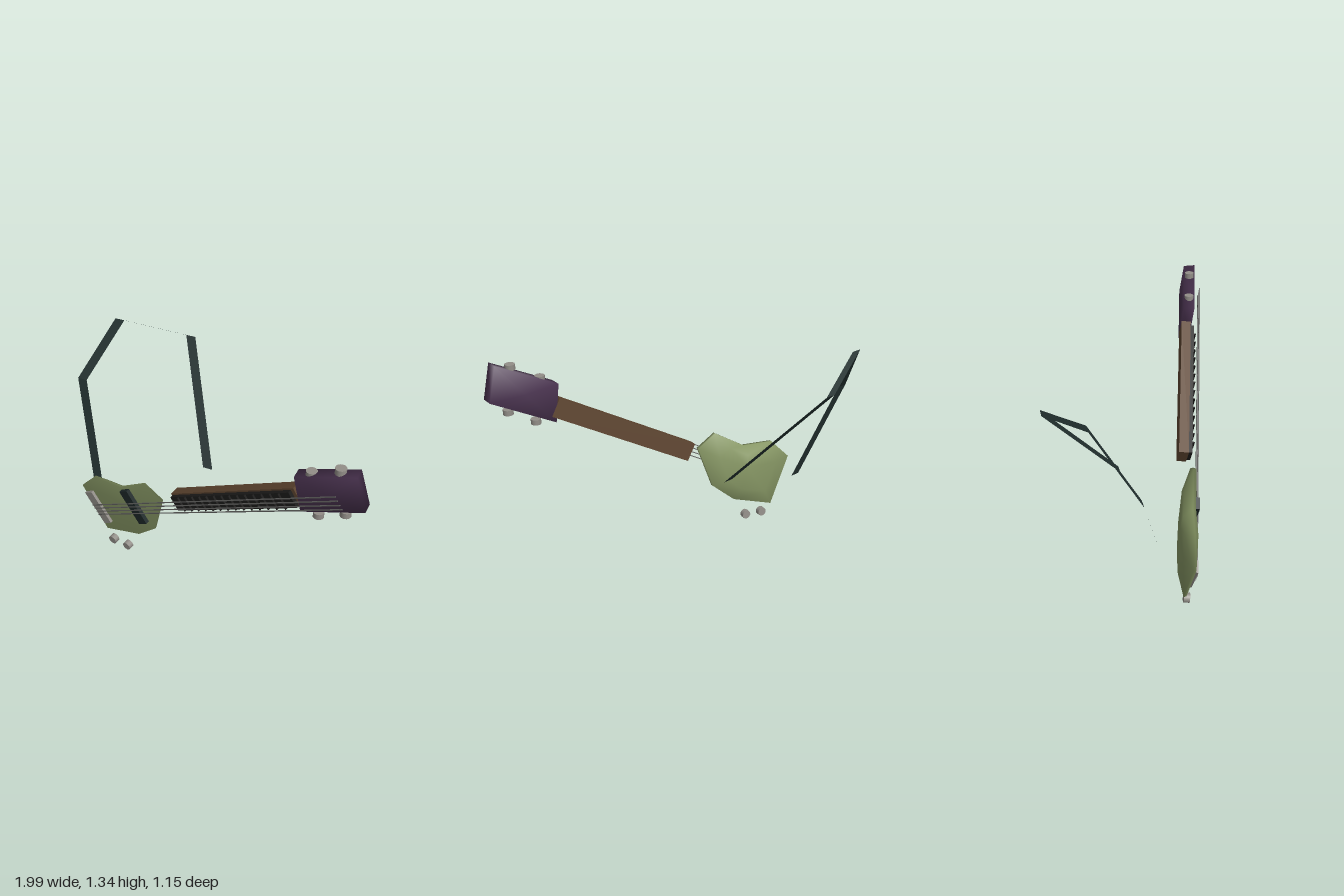
import * as THREE from 'three';

const mat = (name, color, side = THREE.FrontSide) => {
  const m = new THREE.MeshStandardMaterial({ color, side });
  m.name = name;
  return m;
};

// Instrument frame: u along the neck, v across it, n out of the front
const U = new THREE.Vector3(0.843, 0.491, 0.22).normalize();
const V = new THREE.Vector3(-U.y, U.x, 0).normalize();
const N = new THREE.Vector3().crossVectors(U, V);
const ORIGIN = new THREE.Vector3(0, 0.68, 0.345);

// Local point that appears at front position x, y and lies w above the string plane
function at(x, y, w) {
  const dx = x - ORIGIN.x, dy = y - ORIGIN.y;
  const along = dx * V.y - dy * V.x;
  return [(along + U.z * w) / Math.hypot(U.x, U.y), dx * V.x + dy * V.y, w];
}

// Smooth solid from one counter-clockwise outline, with loops of [scale, w] from back to front
function loft(outline, loops, backW, frontW) {
  const n = outline.length;
  const cx = outline.reduce((s, p) => s + p[0], 0) / n;
  const cy = outline.reduce((s, p) => s + p[1], 0) / n;
  const pos = [], idx = [];
  for (const [s, w] of loops)
    for (const [x, y] of outline) pos.push(...at(cx + (x - cx) * s, cy + (y - cy) * s, w));
  const back = loops.length * n, front = back + 1, last = back - n;
  pos.push(...at(cx, cy, backW), ...at(cx, cy, frontW));
  for (let i = 0; i < n; i++) {
    const j = (i + 1) % n;
    idx.push(back, j, i, front, last + i, last + j);
    for (let k = 0; k < last; k += n)
      idx.push(k + i, k + j, k + n + j, k + i, k + n + j, k + n + i);
  }
  const g = new THREE.BufferGeometry();
  g.setAttribute('position', new THREE.Float32BufferAttribute(pos, 3));
  g.setIndex(idx);
  g.computeVertexNormals();
  return g;
}

export function createModel() {
  const root = new THREE.Group();
  root.name = 'bassGuitar';
  const green = mat('bodyGreen', 0x869664);
  const purple = mat('headPurple', 0x4a3350);
  const brown = mat('neckBrown', 0x5e4530);
  const black = mat('fretboardBlack', 0x1c1b1a);
  const strapDark = mat('strapDark', 0x22302f, THREE.DoubleSide);
  const pickupDark = mat('pickupDark', 0x1d2828);
  const metal = mat('metalGrey', 0x928e88);
  const stringGrey = mat('stringGrey', 0x626260);

  const guitar = new THREE.Group();
  guitar.name = 'guitar';
  guitar.position.copy(ORIGIN);
  guitar.quaternion.setFromRotationMatrix(new THREE.Matrix4().makeBasis(U, V, N));
  root.add(guitar);

  const add = (parent, name, geo, material, p = [0, 0, 0]) => {
    const m = new THREE.Mesh(geo, material);
    m.name = name;
    m.position.set(...p);
    parent.add(m);
    return m;
  };
  // Box given by its ranges in the instrument frame
  const block = (name, material, a, b, w) =>
    add(guitar, name, new THREE.BoxGeometry(a[1] - a[0], b[1] - b[0], w[1] - w[0]), material,
      [a, b, w].map(r => (r[0] + r[1]) / 2));

  // Body with thin rim and domed back
  const bodyOutline = [[-0.84, 0.39], [-0.695, 0.09], [-0.43, 0.19], [-0.29, 0.32],
    [-0.21, 0.59], [-0.33, 0.662], [-0.52, 0.538], [-0.72, 0.52]];
  add(guitar, 'body', loft(bodyOutline, [[0.62, -0.088], [1, -0.042], [1, -0.026]], -0.092, -0.026), green);

  // Headstock
  const headOutline = [[0.66, 0.98], [0.99, 1.155], [0.935, 1.345], [0.62, 1.19]];
  add(guitar, 'headstock', loft(headOutline, [[1, -0.112], [1, -0.045]], -0.112, -0.045), purple);

  // Neck, fretboard and frets
  block('neck', brown, [-0.162, 0.75], [-0.052, 0.058], [-0.112, -0.056]);
  block('fretboard', black, [-0.155, 0.73], [-0.043, 0.049], [-0.056, -0.034]);
  for (let i = 0; i < 14; i++) {
    const a = -0.09 + i * 0.058;
    block('fret', black, [a, a + 0.006], [-0.043, 0.049], [-0.034, -0.022]);
  }

  // Pickup and bridge
  block('pickup', pickupDark, [-0.535, -0.465], [-0.112, 0.125], [-0.03, -0.002]);
  block('bridge', metal, [-0.893, -0.825], [-0.107, 0.128], [-0.03, -0.008]);

  // Strings
  for (let i = 0; i < 4; i++) {
    const b = -0.033 + i * 0.024;
    block('string', stringGrey, [-0.88, 1.035], [b - 0.0025, b + 0.0025], [-0.0025, 0.0025]);
  }

  // Tuning pegs
  for (const p of [[0.70, 1.228, 0.462], [0.845, 1.317, 0.5], [0.75, 0.993, 0.455], [0.888, 1.076, 0.49]])
    add(root, 'tuningPeg', new THREE.CylinderGeometry(0.028, 0.028, 0.03, 12), metal, p);

  // Control knobs
  for (const p of [[-0.643, 0.034, 0.132], [-0.528, 0.045, 0.156]]) {
    const knob = add(root, 'controlKnob', new THREE.CylinderGeometry(0.028, 0.028, 0.034, 12), metal, p);
    knob.quaternion.setFromUnitVectors(new THREE.Vector3(0, 1, 0), N);
  }

  // Strap: flat ribbon with its width along x
  const path = [[-0.805, 0.31, 0], [-0.97, 0.945, -0.185], [-0.81, 1.275, -0.405],
    [-0.43, 1.165, -0.578], [-0.115, 0.572, -0.136]];
  const pos = [], idx = [];
  path.forEach(([x, y, z], i) => {
    pos.push(x - 0.03, y, z, x + 0.03, y, z);
    const k = i * 2;
    if (i) idx.push(k - 2, k - 1, k + 1, k - 2, k + 1, k);
  });
  const ribbon = new THREE.BufferGeometry();
  ribbon.setAttribute('position', new THREE.Float32BufferAttribute(pos, 3));
  ribbon.setIndex(idx);
  const strap = ribbon.toNonIndexed();
  strap.computeVertexNormals();
  add(root, 'strap', strap, strapDark);

  return root;
}
